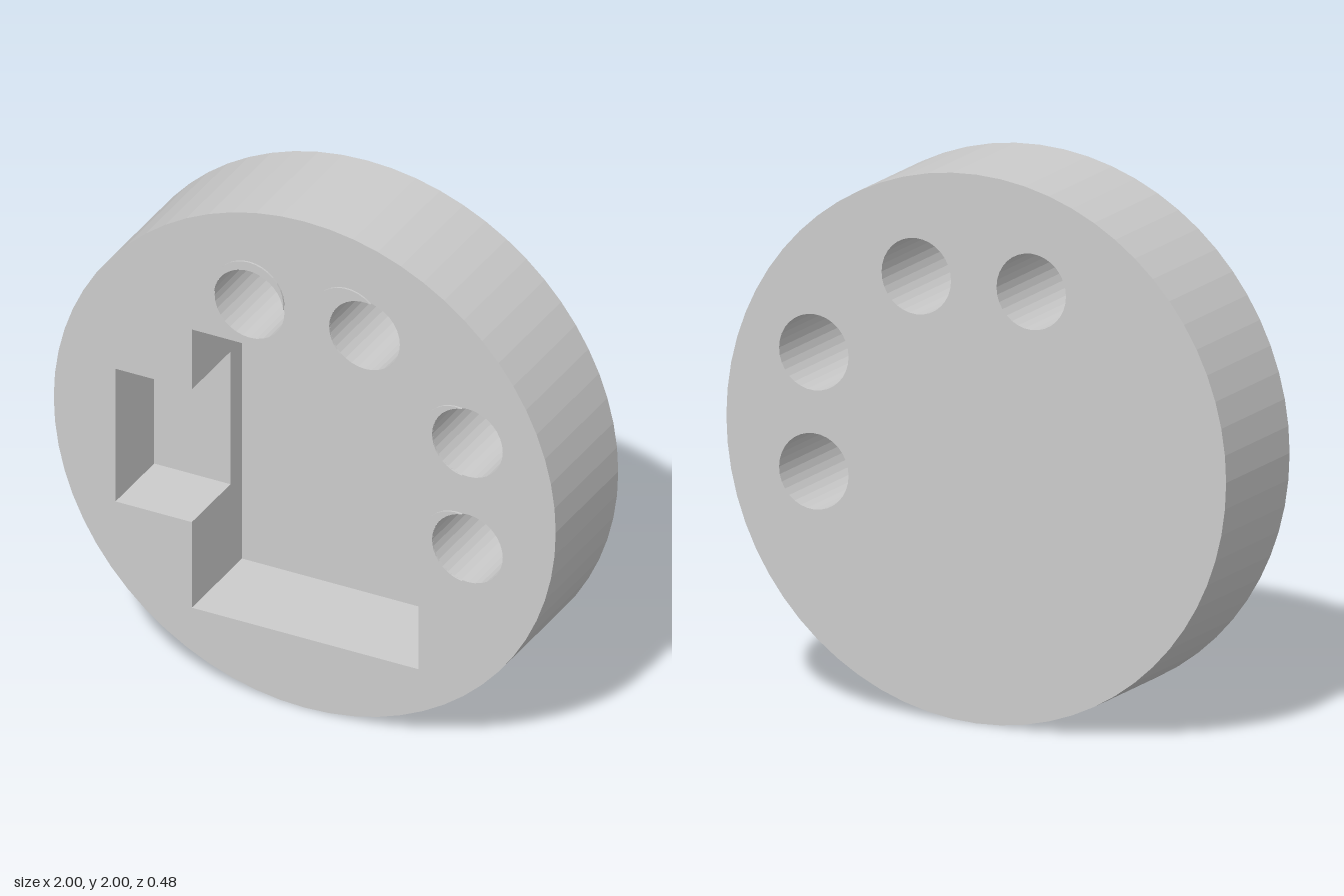
import * as THREE from 'three';

const FRONT = 0.233, BACK = -0.24, NOTCH_Z = -0.06, POCKET_Z = -0.147;
const HOLE_R = 0.139;
// through holes: centre, and shift of the thin raised crescent beside each
const HOLES = [
  { x: -0.22, y: 1.6, dx: 0, dy: 0.035 },
  { x: 0.24, y: 1.6, dx: -0.07, dy: 0.035 },
  { x: 0.65, y: 1.272, dx: -0.042, dy: 0 },
  { x: 0.65, y: 0.838, dx: -0.042, dy: 0 },
];
const POCKET = { x0: -0.45, x1: 0.454, y0: 0.285, y1: 1.43 };
const NOTCH = { x0: -0.754, x1: -0.45, y0: 0.637, y1: 1.183 };

// counter-clockwise points of an arc
function arc(cx, cy, r, from, to, n) {
  return Array.from({ length: n + 1 }, (_, i) => {
    const a = from + (to - from) * i / n;
    return new THREE.Vector2(cx + r * Math.cos(a), cy + r * Math.sin(a));
  });
}
const circle = (x, y, r, n) => arc(x, y, r, 0, Math.PI * 2, n).slice(0, n);
const points = (...list) => list.map(([x, y]) => new THREE.Vector2(x, y));

// wall along a closed loop: faces outward when the loop is counter-clockwise
function wall(loop, z0, z1) {
  const pos = [];
  loop.forEach((a, i) => {
    const b = loop[(i + 1) % loop.length];
    pos.push(a.x, a.y, z0, b.x, b.y, z0, b.x, b.y, z1);
    pos.push(a.x, a.y, z0, b.x, b.y, z1, a.x, a.y, z1);
  });
  const g = new THREE.BufferGeometry();
  g.setAttribute('position', new THREE.Float32BufferAttribute(pos, 3));
  g.computeVertexNormals();
  return g;
}

function floor(r, z) {
  return new THREE.PlaneGeometry(r.x1 - r.x0, r.y1 - r.y0)
    .translate((r.x0 + r.x1) / 2, (r.y0 + r.y1) / 2, z);
}

export function createModel() {
  const group = new THREE.Group();
  const material = new THREE.MeshStandardMaterial({ color: 0xcccccc, flatShading: true });
  const add = (name, geometry) => {
    const mesh = new THREE.Mesh(geometry, material);
    mesh.name = name;
    group.add(mesh);
  };

  const rim = circle(0, 1, 1, 64);
  const holeLoops = HOLES.map(h => circle(h.x, h.y, HOLE_R, 32).reverse());
  const P = POCKET, N = NOTCH;
  // joined outline of pocket and side notch, clockwise
  const opening = points([P.x0, P.y0], [N.x1, N.y0], [N.x0, N.y0], [N.x0, N.y1],
    [N.x1, N.y1], [P.x0, P.y1], [P.x1, P.y1], [P.x1, P.y0]);
  const pocketLoop = points([P.x0, P.y0], [P.x0, P.y1], [P.x1, P.y1], [P.x1, P.y0]);

  // disc faces and rim
  const frontShape = new THREE.Shape(rim);
  frontShape.holes = [...holeLoops, opening].map(l => new THREE.Path(l));
  add('frontFace', new THREE.ShapeGeometry(frontShape).translate(0, 0, FRONT));

  const mirrored = l => l.map(p => new THREE.Vector2(-p.x, p.y));
  const backShape = new THREE.Shape(mirrored(rim));
  backShape.holes = holeLoops.map(l => new THREE.Path(mirrored(l)));
  add('backFace', new THREE.ShapeGeometry(backShape).rotateY(Math.PI).translate(0, 0, BACK));

  add('rim', wall(rim, BACK, FRONT));

  // stepped pocket
  add('upperPocketWalls', wall(opening, NOTCH_Z, FRONT));
  add('lowerPocketWalls', wall(pocketLoop, POCKET_Z, NOTCH_Z));
  add('pocketFloor', floor(P, POCKET_Z));
  add('notchFloor', floor(N, NOTCH_Z));

  // through holes and their thin raised crescents
  HOLES.forEach((h, i) => {
    add('holeWall' + (i + 1), wall(holeLoops[i], BACK, FRONT));
    const shift = Math.hypot(h.dx, h.dy), dir = Math.atan2(h.dy, h.dx);
    const half = Math.acos(shift / 2 / HOLE_R);
    const outer = arc(h.x + h.dx, h.y + h.dy, HOLE_R, dir - Math.PI + half, dir + Math.PI - half, 18);
    const inner = arc(h.x, h.y, HOLE_R, dir + half, dir - half, 18).slice(1, -1);
    const crescent = new THREE.Shape([...outer, ...inner]);
    add('crescent' + (i + 1), new THREE.ExtrudeGeometry(crescent, { depth: 0.007, bevelEnabled: false })
      .translate(0, 0, FRONT));
  });

  return group;
}
